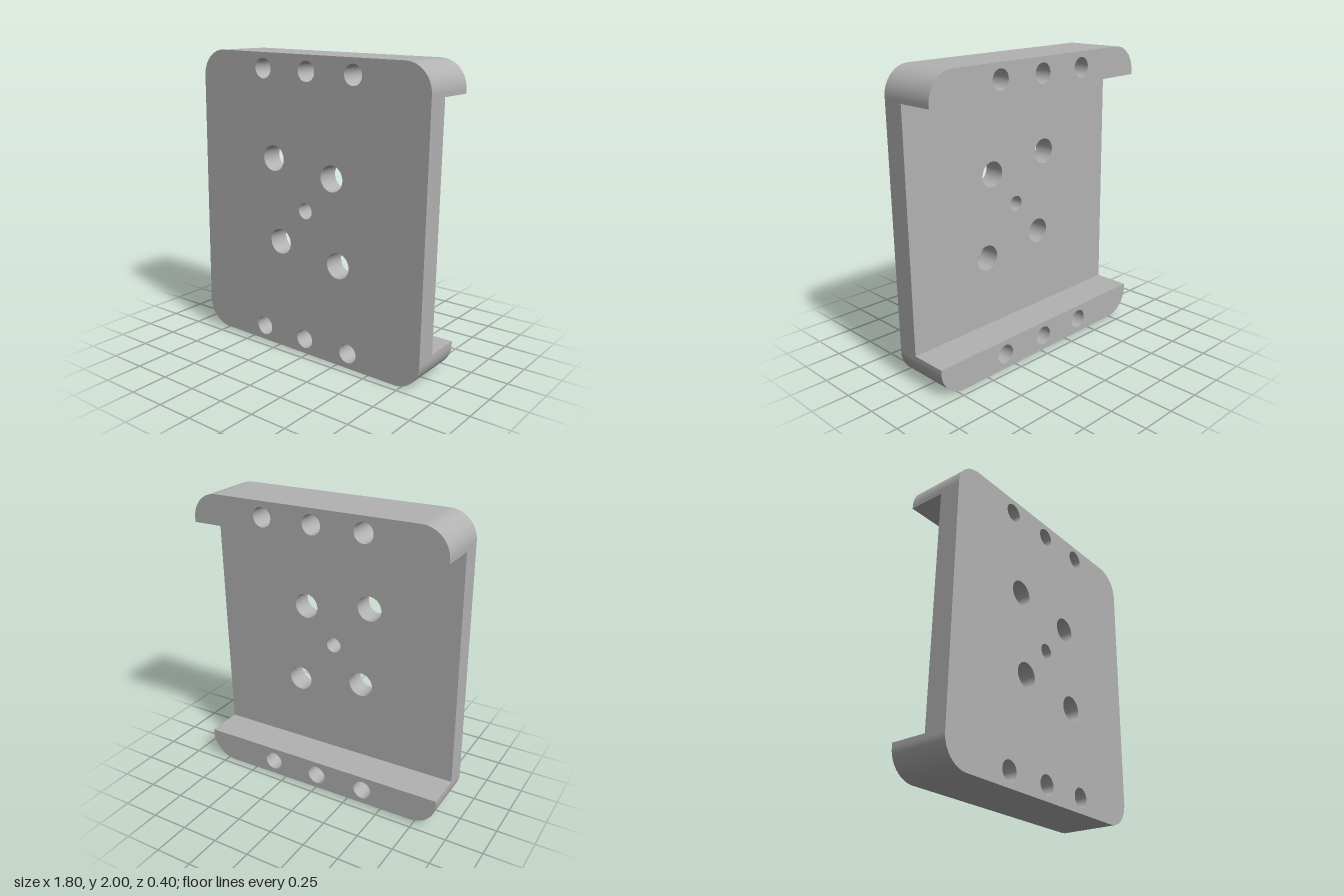
import * as THREE from 'three';

const W = 0.889, H = 0.99, R = 0.178;   // half width, half height, corner radius
const FLANGE = 0.788;                   // inner edge of the end flanges
const BACK = -0.2, STEP = 0.05, FRONT = 0.2;

const grey = new THREE.MeshStandardMaterial({ color: 0xb2b2b2 });
grey.name = 'grey metal';

function addHole(shape, x, y, r) {
  const hole = new THREE.Path();
  hole.absarc(x, y, r, 0, Math.PI * 2, true);
  shape.holes.push(hole);
}

// three screw holes in a row near one end
function addScrewRow(shape, y) {
  for (const x of [-0.356, 0, 0.356]) addHole(shape, x, y, 0.065);
}

function extrude(name, shape, z0, z1) {
  const geometry = new THREE.ExtrudeGeometry(shape, {
    depth: z1 - z0, bevelEnabled: false, curveSegments: 20,
  });
  geometry.translate(0, 0, z0);
  const mesh = new THREE.Mesh(geometry, grey);
  mesh.name = name;
  return mesh;
}

// rounded face plate with every hole
function facePlate() {
  const s = new THREE.Shape();
  s.absarc(W - R, H - R, R, 0, Math.PI / 2);
  s.absarc(R - W, H - R, R, Math.PI / 2, Math.PI);
  s.absarc(R - W, R - H, R, Math.PI, Math.PI * 1.5);
  s.absarc(W - R, R - H, R, Math.PI * 1.5, Math.PI * 2);
  s.closePath();
  addScrewRow(s, 0.888);
  addScrewRow(s, -0.888);
  addHole(s, 0, 0, 0.053);
  for (const k of [1, -1]) {
    addHole(s, -0.267 * k, 0.313 * k, 0.085);
    addHole(s, 0.207 * k, 0.243 * k, 0.085);
  }
  return extrude('facePlate', s, STEP, FRONT);
}

// end flange reaching back from the plate
function endFlange(name) {
  const s = new THREE.Shape();
  s.moveTo(-W, FLANGE);
  s.lineTo(W, FLANGE);
  s.absarc(W - R, H - R, R, 0, Math.PI / 2);
  s.absarc(R - W, H - R, R, Math.PI / 2, Math.PI);
  s.closePath();
  addScrewRow(s, 0.888);
  return extrude(name, s, BACK, STEP);
}

export function createModel() {
  const bracket = new THREE.Group();
  bracket.name = 'bracket';
  const bottom = endFlange('bottomFlange');
  bottom.rotation.z = Math.PI;
  bracket.add(facePlate(), endFlange('topFlange'), bottom);

  // the whole bracket leans slightly clockwise
  bracket.rotation.z = -0.014;
  bracket.position.y = 1;

  const model = new THREE.Group();
  model.name = 'mountingBracket';
  model.add(bracket);
  return model;
}
